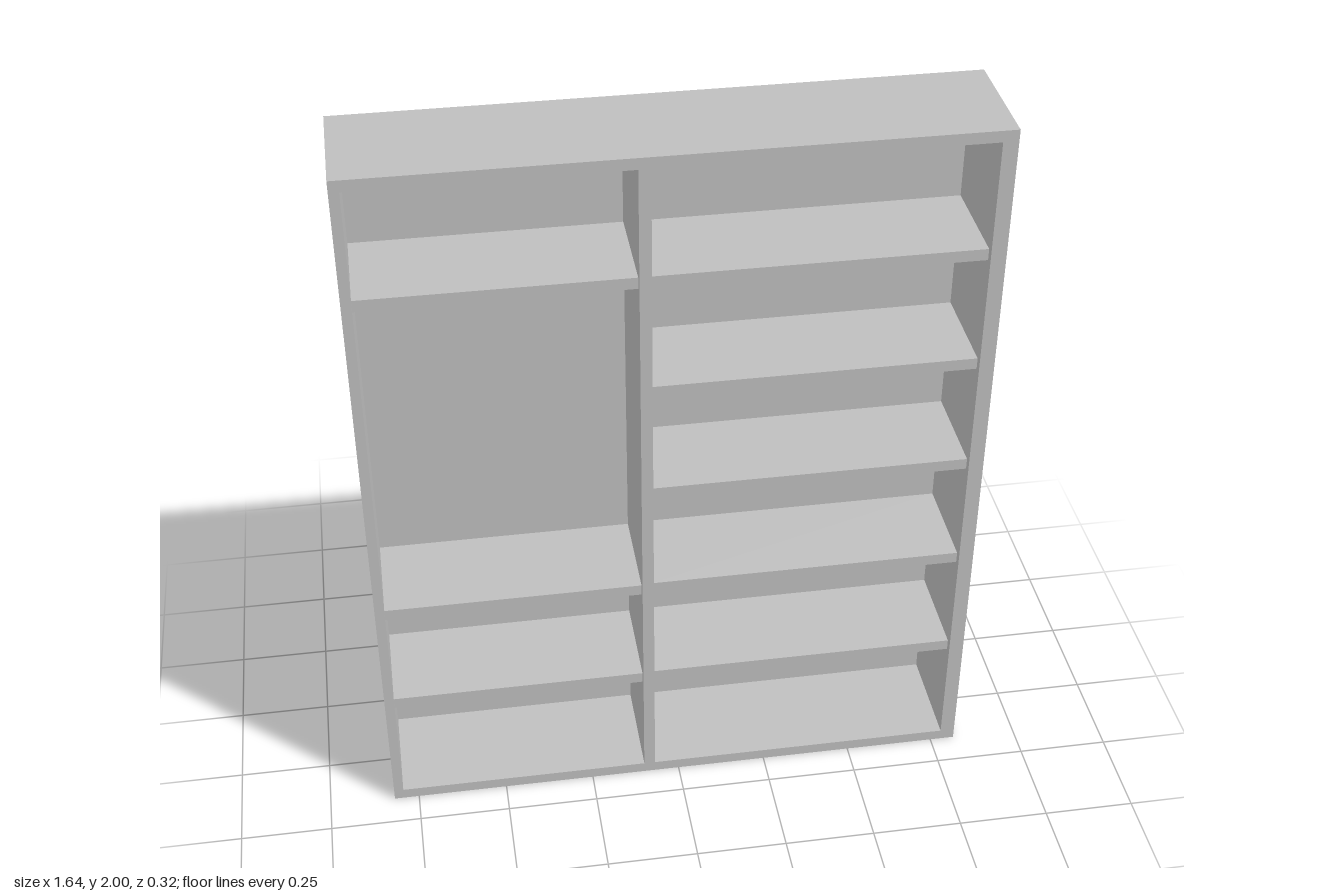
import * as THREE from 'three';

export function createModel() {
  const group = new THREE.Group();
  const grey = new THREE.MeshStandardMaterial({ color: 0xbfbfbf });
  grey.name = 'light grey';

  // Box given by its limits on each axis
  function panel(name, x0, x1, y0, y1, z0, z1) {
    const mesh = new THREE.Mesh(new THREE.BoxGeometry(x1 - x0, y1 - y0, z1 - z0), grey);
    mesh.position.set((x0 + x1) / 2, (y0 + y1) / 2, (z0 + z1) / 2);
    mesh.name = name;
    group.add(mesh);
  }

  const W = 0.819, H = 2, D = 0.161;
  const bays = [
    { name: 'narrowBay', x0: -0.793, x1: -0.1, shelves: [0.348, 0.669, 1.646] },
    { name: 'wideBay', x0: -0.069, x1: 0.779, shelves: [0.351, 0.673, 0.996, 1.319, 1.646] },
  ];
  const bottom = 0.031, top = 1.969, backFace = -0.13, shelfFront = 0.141, shelfHalf = 0.016;

  // Front frame and carcass: one solid with two openings
  const outline = new THREE.Shape([
    new THREE.Vector2(-W, 0), new THREE.Vector2(W, 0),
    new THREE.Vector2(W, H), new THREE.Vector2(-W, H),
  ]);
  for (const { x0, x1 } of bays) {
    outline.holes.push(new THREE.Path([
      new THREE.Vector2(x0, bottom), new THREE.Vector2(x0, top),
      new THREE.Vector2(x1, top), new THREE.Vector2(x1, bottom),
    ]));
  }
  const carcass = new THREE.Mesh(
    new THREE.ExtrudeGeometry(outline, { depth: D - backFace, bevelEnabled: false }), grey);
  carcass.position.z = backFace;
  carcass.name = 'carcass';
  group.add(carcass);

  // Back panel closing both bays
  panel('backPanel', -W, W, 0, H, -D, backFace);

  // Shelves, set slightly behind the front edge
  for (const bay of bays) {
    bay.shelves.forEach((y, i) => panel(
      `${bay.name}Shelf${i + 1}`, bay.x0, bay.x1, y - shelfHalf, y + shelfHalf, backFace, shelfFront));
  }

  return group;
}
